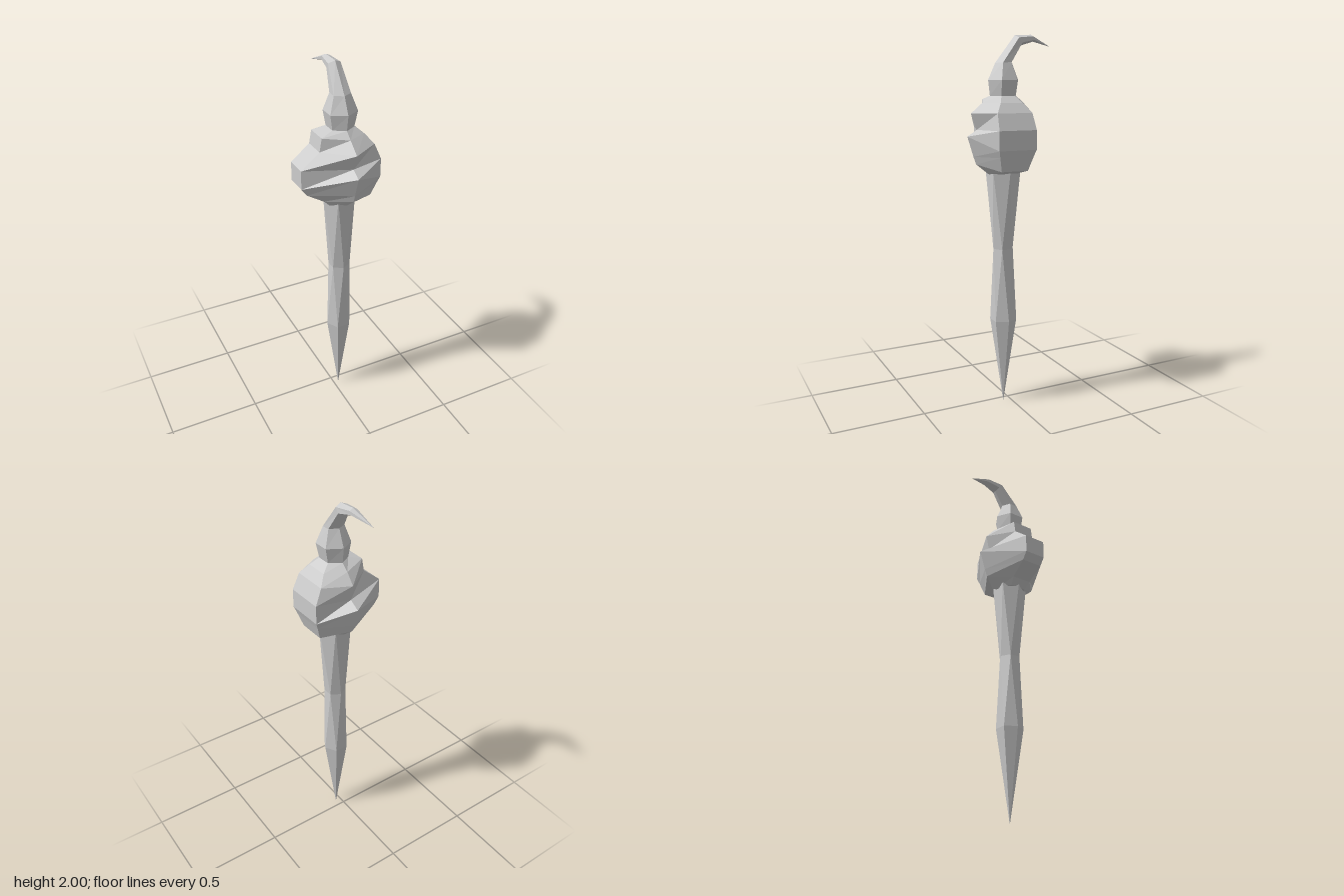
import * as THREE from 'three';

const material = new THREE.MeshStandardMaterial({ color: 0xcccccc, flatShading: true });

// Skin of quads through equal-sided rings listed bottom to top, closed at both ends.
function loft(name, rings) {
  const pos = [];
  const tri = (...pts) => pts.forEach((p) => pos.push(p.x, p.y, p.z));
  const n = rings[0].length;
  for (let k = 0; k < rings.length - 1; k++) {
    const a = rings[k], b = rings[k + 1];
    for (let i = 0; i < n; i++) {
      const j = (i + 1) % n;
      tri(a[i], a[j], b[j]);
      tri(a[i], b[j], b[i]);
    }
  }
  const first = rings[0], last = rings[rings.length - 1];
  for (let i = 1; i < n - 1; i++) {
    tri(first[0], first[i + 1], first[i]);
    tri(last[0], last[i], last[i + 1]);
  }
  const geometry = new THREE.BufferGeometry();
  geometry.setAttribute('position', new THREE.Float32BufferAttribute(pos, 3));
  geometry.computeVertexNormals();
  const mesh = new THREE.Mesh(geometry, material);
  mesh.name = name;
  return mesh;
}

const V = (x, y, z) => new THREE.Vector3(x, y, z);
const CX = 0.03, CZ = 0.04;

// Six-sided ring: front [y, z], back [y, z], sides [x, y, half depth].
const bodyRing = (f, b, r, l) => [
  V(CX, f[0], f[1]),
  V(r[0], r[1], CZ + r[2]), V(r[0], r[1], CZ - r[2]),
  V(CX, b[0], b[1]),
  V(l[0], l[1], CZ - l[2]), V(l[0], l[1], CZ + l[2]),
];

// Tilted ring along a front-to-back axis, for the curling tip.
const tiltedRing = (f, b, xl, xr) => {
  const x = (xl + xr) / 2;
  const at = (px, t) => V(px, f[0] + (b[0] - f[0]) * t, f[1] + (b[1] - f[1]) * t);
  return [at(x, 0), at(xr, 0.25), at(xr, 0.75), at(x, 1), at(xl, 0.75), at(xl, 0.25)];
};

// Regular hexagon, turned by a given number of degrees.
const hexRing = (y, r, turn) => Array.from({ length: 6 }, (_, i) => {
  const a = THREE.MathUtils.degToRad(i * 60 + turn);
  return V(CX + r * Math.sin(a), y, CZ + r * Math.cos(a));
});

export function createModel() {
  const group = new THREE.Group();
  group.name = 'spike';

  // Twisted, pointed shaft
  group.add(loft('shaft', [
    hexRing(0, 0.001, 60),
    hexRing(0.48, 0.072, 30),
    hexRing(0.88, 0.058, 0),
    hexRing(1.32, 0.094, -30),
  ]));

  // Lopsided bulb, bulging lower on the left
  const neck = tiltedRing([1.69, 0.115], [1.69, -0.035], -0.03, 0.09);
  group.add(loft('bulb', [
    bodyRing([1.285, 0.125], [1.285, -0.045], [0.106, 1.29, 0.045], [-0.05, 1.285, 0.045]),
    bodyRing([1.34, 0.195], [1.34, -0.115], [0.17, 1.31, 0.075], [-0.085, 1.32, 0.055]),
    bodyRing([1.38, 0.21], [1.38, -0.13], [0.195, 1.385, 0.095], [-0.18, 1.38, 0.06]),
    bodyRing([1.485, 0.243], [1.485, -0.163], [0.208, 1.42, 0.105], [-0.21, 1.42, 0.06]),
    bodyRing([1.518, 0.19], [1.518, -0.105], [0.208, 1.52, 0.105], [-0.21, 1.52, 0.06]),
    bodyRing([1.602, 0.222], [1.602, -0.122], [0.172, 1.605, 0.098], [-0.11, 1.6, 0.06]),
    bodyRing([1.657, 0.155], [1.657, -0.075], [0.132, 1.655, 0.062], [-0.098, 1.67, 0.06]),
    neck,
  ]));

  // Collar and horn that curls over to the back
  group.add(loft('curledHorn', [
    neck,
    tiltedRing([1.77, 0.125], [1.77, -0.047], -0.043, 0.106),
    tiltedRing([1.855, 0.085], [1.86, -0.01], -0.015, 0.077),
    tiltedRing([1.995, -0.025], [1.945, -0.062], 0.002, 0.068),
    tiltedRing([2, -0.12], [1.965, -0.132], 0.012, 0.054),
    tiltedRing([1.946, -0.24], [1.944, -0.24], 0.009, 0.011),
  ]));

  return group;
}
